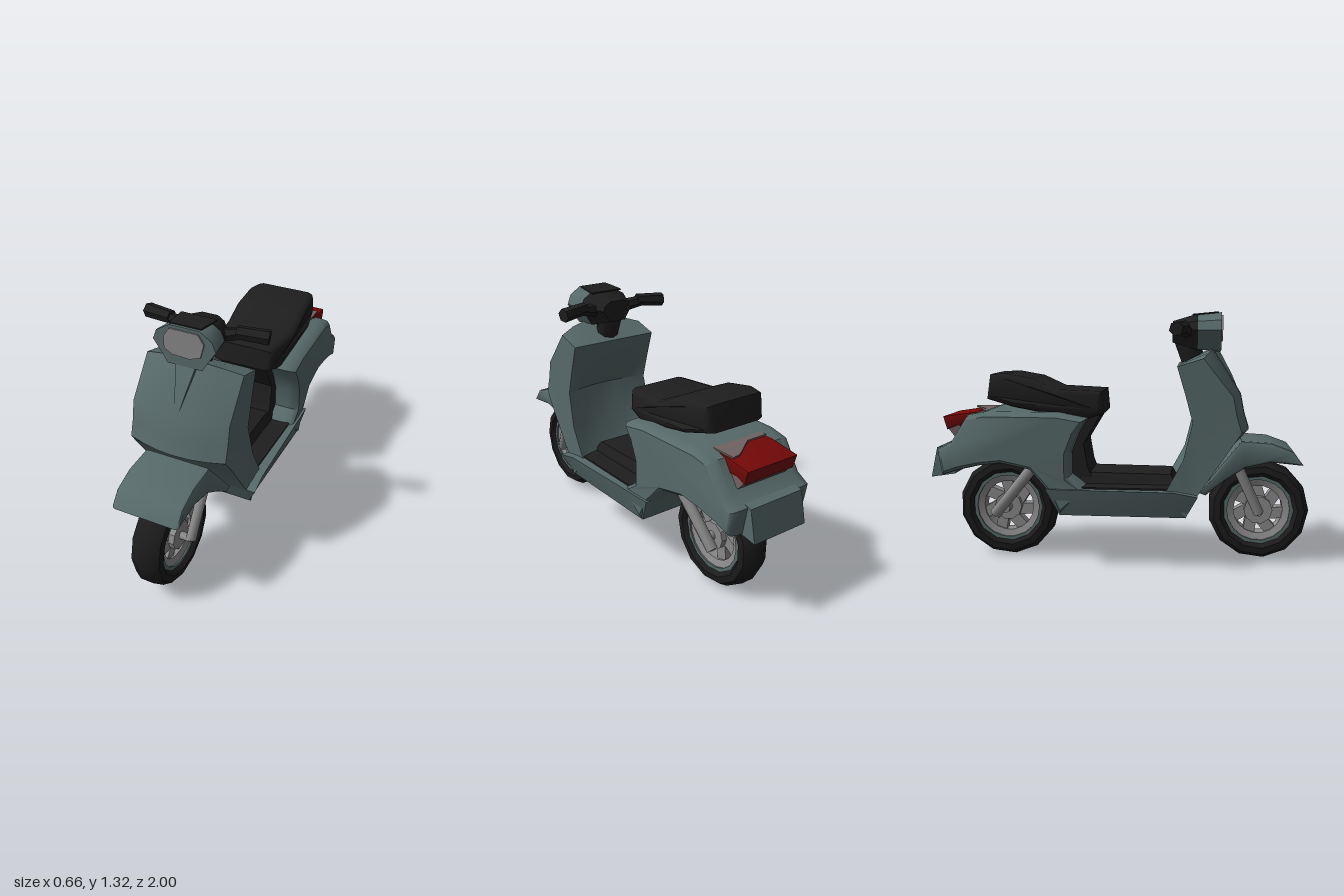
import * as THREE from 'three';
import { toCreasedNormals } from 'three/addons/utils/BufferGeometryUtils.js';

const paint = (name, color) => Object.assign(new THREE.MeshStandardMaterial({ color }), { name });

export function createModel() {
  const model = new THREE.Group();
  model.name = 'scooter';
  const bodyPaint = paint('grey green paint', 0x576969);
  const black = paint('black plastic', 0x1e1e1e);
  const rubber = paint('tyre rubber', 0x1b1b1b);
  const silver = paint('silver metal', 0x8a8a8a);
  const glass = paint('headlight glass', 0x868686);
  const red = paint('red lens', 0x740808);
  const rose = paint('pale lens', 0x706262);

  const add = (name, geo, mat, parent = model, crease = 0.6) => {
    const mesh = new THREE.Mesh(toCreasedNormals(geo, crease), mat);
    mesh.name = name;
    parent.add(mesh);
    return mesh;
  };

  // Symmetric solid from a [z, y] side profile; width(z, y) gives its half width,
  // inset and edge round off the sides, bend(t, z, y) reshapes it across the width
  const panel = (name, mat, profile, width, { inset = 0, edge = 0.2, steps = 1, bend, crease } = {}) => {
    const shape = new THREE.Shape(profile.map(([z, y]) => new THREE.Vector2(z, y)));
    const b = inset ? edge : 0;
    const geo = new THREE.ExtrudeGeometry(shape, {
      depth: 2 - 2 * b, steps, bevelEnabled: inset > 0, bevelThickness: b,
      bevelSize: inset, bevelOffset: -inset, bevelSegments: 2,
    });
    const p = geo.attributes.position;
    for (let i = 0; i < p.count; i++) {
      let z = p.getX(i), y = p.getY(i);
      const t = p.getZ(i) - 1 + b;
      const w = typeof width === 'function' ? width(z, y) : width;
      if (bend) [z, y] = bend(t, z, y);
      p.setXYZ(i, -t * w, y, z);
    }
    return add(name, geo, mat, model, crease);
  };

  // Round bar between two points
  const bar = (name, mat, a, b, r1, r2 = r1, sides = 8) => {
    const from = new THREE.Vector3(...a), dir = new THREE.Vector3(...b).sub(from);
    const mesh = add(name, new THREE.CylinderGeometry(r2, r1, dir.length(), sides), mat, model, 0.9);
    mesh.position.copy(from).addScaledVector(dir, 0.5);
    mesh.quaternion.setFromUnitVectors(new THREE.Vector3(0, 1, 0), dir.normalize());
  };

  const lathe = (pts, segments) =>
    new THREE.LatheGeometry(pts.map(([r, h]) => new THREE.Vector2(r, h)), segments);

  // Wheels: tyre, painted rim and pierced spokes
  const wheel = (name, z, y, R) => {
    const g = new THREE.Group();
    g.name = name;
    const ri = R - 0.085;
    add('tyre', lathe([[ri, -0.055], [R - 0.06, -0.08], [R - 0.025, -0.075], [R, -0.035],
      [R, 0.035], [R - 0.025, 0.075], [R - 0.06, 0.08], [ri, 0.055], [ri, -0.055]], 13), rubber, g, 0.8);
    add('rim', lathe([[ri - 0.015, -0.06], [ri + 0.008, -0.06], [ri + 0.008, 0.06],
      [ri - 0.015, 0.06], [ri - 0.015, -0.06]], 18), bodyPaint, g);
    add('rimInner', lathe([[ri - 0.05, -0.04], [ri - 0.012, -0.052], [ri - 0.012, 0.052],
      [ri - 0.05, 0.04], [ri - 0.05, -0.04]], 18), silver, g);
    add('hub', new THREE.CylinderGeometry(0.075, 0.075, 0.12, 10), silver, g);
    for (let i = 0; i < 7; i++) {
      const a = i * Math.PI * 2 / 7;
      const spoke = add('spoke', new THREE.BoxGeometry(0.12, 0.06, 0.06), silver, g);
      spoke.position.set(Math.cos(a) * 0.09, 0, Math.sin(a) * 0.09);
      spoke.rotation.y = -a + 0.3;
    }
    g.rotation.z = Math.PI / 2;
    g.position.set(0, y, z);
    model.add(g);
  };
  wheel('frontWheel', 0.74, 0.285, 0.264);
  wheel('rearWheel', -0.61, 0.275, 0.272);

  // Forks and axles
  for (const s of [-1, 1]) {
    bar('frontFork', silver, [s * 0.115, 0.28, 0.74], [s * 0.135, 0.56, 0.61], 0.027, 0.027);
    bar('rearFork', silver, [s * 0.11, 0.24, -0.67], [s * 0.15, 0.56, -0.41], 0.03);
  }
  bar('frontAxle', silver, [-0.12, 0.285, 0.74], [0.12, 0.285, 0.74], 0.02);
  bar('rearAxle', silver, [-0.12, 0.275, -0.61], [0.12, 0.275, -0.61], 0.025);

  // Front mudguard
  panel('frontMudguard', bodyPaint, [[0.955, 0.545], [0.9, 0.62], [0.79, 0.66], [0.64, 0.668], [0.55, 0.56],
    [0.42, 0.395], [0.46, 0.38], [0.55, 0.455], [0.66, 0.53], [0.79, 0.56]], 0.175, { inset: 0.012, edge: 0.1 });

  // Leg shield, bulged at the front and hollowed at the back below the top collar
  panel('legShield', bodyPaint, [[0.49, 1.14], [0.64, 0.9], [0.66, 0.8], [0.685, 0.72], [0.6, 0.67],
    [0.42, 0.4], [0.36, 0.28], [0.26, 0.42], [0.345, 0.58], [0.39, 0.77], [0.355, 0.9], [0.31, 1.05]],
    (z, y) => (y > 0.7 ? 0.255 : 0.262), {
      steps: 6,
      bend: (t, z, y) => {
        const back = z < 0.4 && y > 0.41, k = t * t;
        const hollow = y > 0.85 ? 0 : 0.045;
        return [back ? z + hollow * (1 - k) : z - (y > 0.7 ? 0.05 * k : 0), y > 1.1 ? y - 0.05 * k : y];
      },
    });
  // Raised wedge on the shield front
  panel('shieldRidge', bodyPaint, [[0.47, 1.12], [0.525, 1.12], [0.59, 1.0], [0.62, 0.93], [0.57, 0.95]],
    (z, y) => 0.012 + Math.max(0, y - 0.93) * 0.2);

  // Footboard and mats
  panel('footboard', bodyPaint, [[0.42, 0.4], [0.36, 0.28], [-0.29, 0.28], [-0.36, 0.42], [0.3, 0.42]],
    (z, y) => (y < 0.35 ? 0.25 : 0.28 + Math.max(0, z) * 0.07));
  panel('floorMat', black, [[0.3, 0.42], [-0.22, 0.42], [-0.22, 0.428], [0.3, 0.428]], 0.25);
  panel('centreTunnel', black, [[0.31, 0.42], [0.28, 0.48], [-0.15, 0.485], [-0.25, 0.42]],
    (z, y) => (y > 0.45 ? 0.125 : 0.15));

  // Rear bodywork with wheel arch
  panel('rearBody', bodyPaint, [[-0.15, 0.78], [-0.2, 0.7], [-0.24, 0.6], [-0.24, 0.48], [-0.14, 0.41],
    [-0.29, 0.28], [-0.36, 0.41], [-0.45, 0.51], [-0.6, 0.54], [-0.72, 0.525], [-0.83, 0.5], [-0.92, 0.47],
    [-0.945, 0.61], [-0.87, 0.65], [-0.78, 0.79], [-0.68, 0.81], [-0.3, 0.81]],
    z => 0.272 + Math.min(0, z + 0.2) * 0.035, { inset: 0.022, edge: 0.22, crease: 0.8 });
  panel('tailFlap', bodyPaint, [[-0.82, 0.65], [-0.965, 0.61], [-1, 0.45], [-0.87, 0.47]], 0.16);
  panel('seatFrontPanel', black, [[-0.12, 0.42], [-0.16, 0.52], [-0.18, 0.64], [-0.09, 0.79], [-0.3, 0.8],
    [-0.3, 0.42]], 0.135);

  // Seat
  panel('seat', black, [[-0.07, 0.8], [-0.08, 0.915], [-0.32, 0.925], [-0.44, 0.98], [-0.58, 1.005],
    [-0.67, 1.0], [-0.69, 0.87], [-0.54, 0.83], [-0.18, 0.765]],
    z => 0.2 - Math.max(0, z + 0.3) * 0.12 - Math.max(0, -0.55 - z) * 0.2, { inset: 0.025, edge: 0.2, crease: 0.9 });

  // Tail lamp
  panel('tailLampBase', rose, [[-0.74, 0.77], [-0.78, 0.67], [-0.87, 0.67], [-0.905, 0.715], [-0.8, 0.74]], 0.15);
  panel('tailLamp', red, [[-0.7, 0.8], [-0.76, 0.8], [-0.93, 0.775], [-0.91, 0.705], [-0.86, 0.725], [-0.77, 0.725]],
    0.155, { inset: 0.006, edge: 0.06 });
  const lens = new THREE.Shape([[-0.15, 0.695], [0.15, 0.695], [0.15, 0.83], [0.1, 0.82], [-0.03, 0.73], [-0.15, 0.73]]
    .map(([x, z]) => new THREE.Vector2(x, z)));
  const lensPlate = add('paleLens', new THREE.ExtrudeGeometry(lens, { depth: 0.008, bevelEnabled: false }), rose);
  lensPlate.rotation.x = -Math.PI / 2;
  lensPlate.position.y = 0.8;

  // Steering column
  bar('steeringColumn', black, [0, 1.02, 0.4], [0, 1.2, 0.35], 0.055, 0.07);

  // Handlebar head: front cowl and dark back share one outline
  const outline = [[-0.07, 1.32], [0.08, 1.32], [0.14, 1.28], [0.16, 1.23], [0.12, 1.17], [0.09, 1.12],
    [-0.09, 1.12], [-0.12, 1.17], [-0.16, 1.23], [-0.14, 1.28]];
  const cowl = (name, mat, z0, z1, s0, s1) => {
    const shape = new THREE.Shape(outline.map(([x, y]) => new THREE.Vector2(x, y - 1.22)));
    const geo = new THREE.ExtrudeGeometry(shape, { depth: z1 - z0, bevelEnabled: false });
    const p = geo.attributes.position;
    for (let i = 0; i < p.count; i++) {
      const s = p.getZ(i) > 0 ? s1 : s0;
      p.setXY(i, p.getX(i) * s, p.getY(i) * s);
    }
    add(name, geo, mat).position.set(0, 1.22, z0);
  };
  cowl('headCowl', bodyPaint, 0.4, 0.53, 0.88, 1);
  cowl('headBack', black, 0.28, 0.41, 0.55, 0.93);
  panel('dashTop', black, [[0.515, 1.316], [0.515, 1.324], [0.38, 1.311], [0.38, 1.303]], z => 0.08 + (0.515 - z) * 0.1);

  // Headlight plate
  const lamp = new THREE.Shape([[-0.07, 1.305], [0.075, 1.305], [0.105, 1.26], [0.085, 1.19], [0.03, 1.17],
    [-0.06, 1.175], [-0.1, 1.2], [-0.1, 1.26]].map(([x, y]) => new THREE.Vector2(x, y)));
  add('headlight', new THREE.ExtrudeGeometry(lamp, { depth: 0.008, bevelEnabled: false }), glass).position.z = 0.53;

  // Handlebar and grips
  for (const s of [-1, 1]) {
    bar('handlebar', black, [s * 0.08, 1.22, 0.36], [s * 0.2, 1.24, 0.33], 0.035, 0.028, 6);
    bar('grip', black, [s * 0.17, 1.245, 0.34], [s * 0.32, 1.235, 0.305], 0.033, 0.037, 6);
  }
  return model;
}
